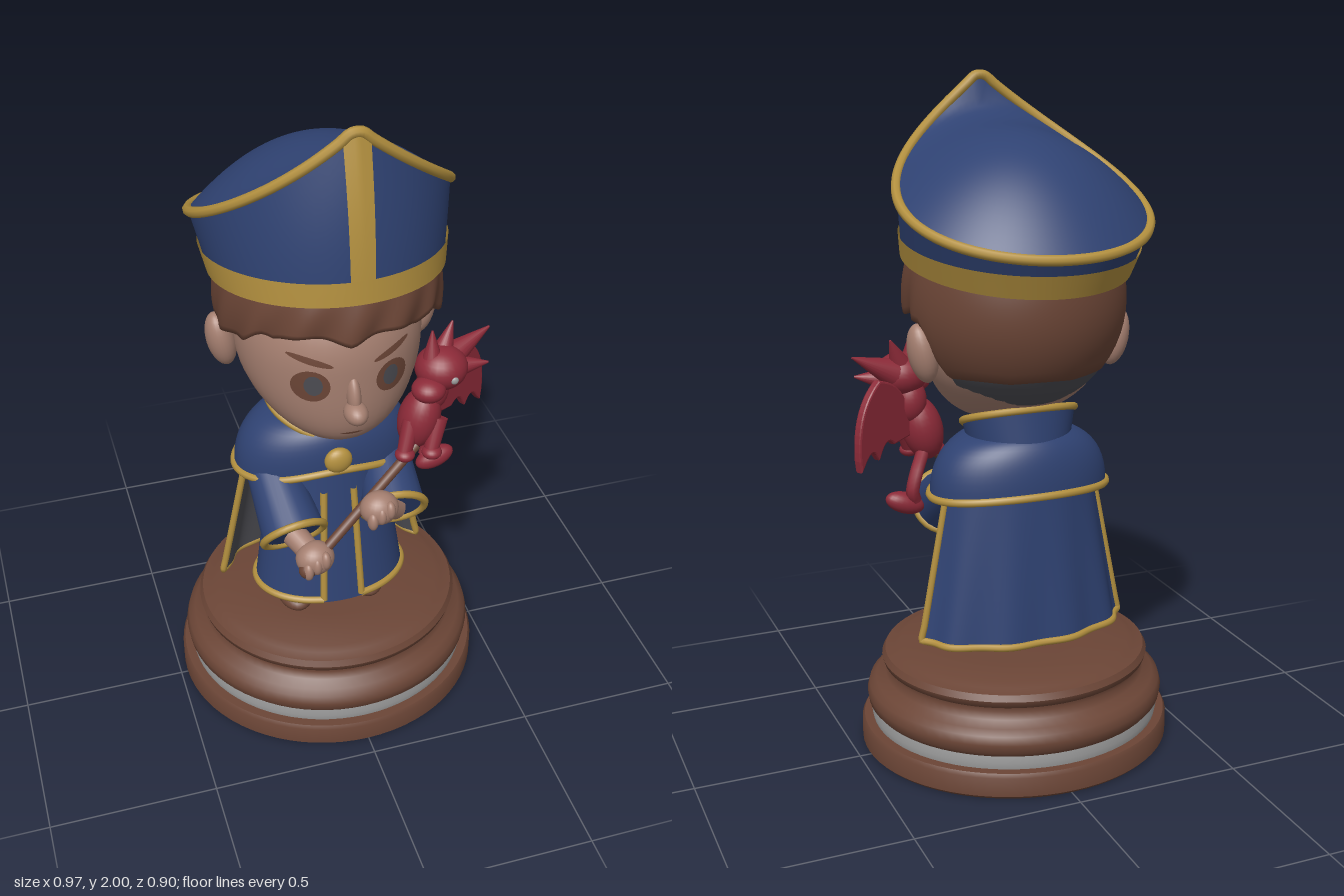
import * as THREE from 'three';
import { mergeVertices, toCreasedNormals } from 'three/addons/utils/BufferGeometryUtils.js';
import { ParametricGeometry } from 'three/addons/geometries/ParametricGeometry.js';

const colour = (name, hex) => {
  const m = new THREE.MeshStandardMaterial({ color: hex, side: THREE.DoubleSide });
  m.name = name;
  return m;
};
const V = (x, y, z) => new THREE.Vector3(x, y, z);
const { sin, cos, PI, sqrt, abs, max, min } = Math;

export function createModel() {
  const blue = colour('blue cloth', 0x2f4272), gold = colour('gold trim', 0xb3903f);
  const brown = colour('brown', 0x6b4536), skin = colour('skin', 0xa57f70);
  const red = colour('red', 0x8c2a38), grey = colour('dark grey', 0x4c4c52);
  const silver = colour('silver', 0x9a9a9a);
  const root = new THREE.Group();

  const add = (name, geo, mat, parent = root) => {
    const m = new THREE.Mesh(geo, mat);
    m.name = name;
    parent.add(m);
    return m;
  };
  // surface from a rule f(a, t) -> Vector3, a in [a0, a1], t in [t0, t1]
  const sheet = (name, mat, f, a0, a1, t0, t1, na = 64, nt = 12) => {
    let g = new ParametricGeometry((u, v, p) => p.copy(f(a0 + (a1 - a0) * u, t0 + (t1 - t0) * v)), na, nt);
    g.deleteAttribute('uv');
    g.deleteAttribute('normal');
    g = mergeVertices(g, 1e-5);
    g.computeVertexNormals();
    return add(name, g, mat);
  };
  const tube = (name, mat, pts, r, closed = false, parent = root) =>
    add(name, new THREE.TubeGeometry(new THREE.CatmullRomCurve3(pts, closed), pts.length * 3, r, 8, closed), mat, parent);
  const line = (f, s0, s1, n = 24) => Array.from({ length: n + 1 }, (_, i) => f(s0 + (s1 - s0) * i / n));
  const blob = (name, mat, p, s, parent = root) => {
    const m = add(name, new THREE.SphereGeometry(1, 24, 16), mat, parent);
    m.position.set(...p);
    m.scale.set(...s);
    return m;
  };
  const rod = (name, mat, p0, p1, r0, r1, parent = root) => {
    const a = V(...p0), b = V(...p1), d = b.clone().sub(a);
    const m = add(name, new THREE.CylinderGeometry(r1, r0, d.length(), 20), mat, parent);
    m.position.copy(a).add(b).multiplyScalar(0.5);
    m.quaternion.setFromUnitVectors(V(0, 1, 0), d.normalize());
    return m;
  };

  // pedestal
  const turned = (name, mat, pts) => {
    const g = new THREE.LatheGeometry(pts.map(p => new THREE.Vector2(...p)), 72);
    const m = add(name, toCreasedNormals(g, 0.7), mat);
    m.position.x = -0.005;
    m.scale.z = 0.945;
  };
  turned('baseFoot', brown, [[0, 0], [0.465, 0], [0.475, 0.01], [0.475, 0.068], [0.468, 0.08], [0.4, 0.08]]);
  turned('baseBand', silver, [[0.44, 0.075], [0.445, 0.1], [0.435, 0.135]]);
  turned('baseTop', brown, [[0.4, 0.12], [0.44, 0.12], [0.453, 0.135], [0.457, 0.16], [0.45, 0.185], [0.43, 0.2],
    [0.4, 0.215], [0.388, 0.235], [0.39, 0.248], [0.405, 0.258], [0.41, 0.275], [0.4, 0.293], [0.37, 0.3],
    [0.35, 0.31], [0.2, 0.312], [0, 0.312]]);

  // legs and shoes
  for (const x of [-0.115, 0.085]) {
    rod('leg', grey, [x, 0.31, 0.02], [x, 0.5, 0.02], 0.05, 0.055);
    blob('shoe', brown, [x * 1.15, 0.325, 0.07], [0.055, 0.035, 0.085]);
  }

  // coat with trim
  const coat = (a, t) => V(-0.01 + (0.235 - 0.075 * t) * sin(a), 0.375 + 0.525 * t,
    0.04 - 0.03 * t + (0.165 - 0.04 * t) * cos(a));
  const coatHem = a => coat(a, 0.02);
  sheet('coat', blue, coat, 0, 2 * PI, 0, 1);
  sheet('coatUnderside', grey, (a, t) => { const p = coat(a, 0.02); p.x *= t; p.z = 0.04 + (p.z - 0.04) * t; return p; }, 0, 2 * PI, 0.01, 1, 48, 2);
  tube('coatHemTrim', gold, line(coatHem, 0.25, 2 * PI - 0.27), 0.012);
  for (const a of [-0.27, 0.25]) tube('coatFrontTrim', gold, line(t => coat(a, t), 0.02, 0.75, 10), 0.011);

  // open cape with grey lining
  const cape = k => (a, t) => {
    const fold = k * (1 + 0.025 * t * cos(11 * a));
    return V(-0.01 + (0.235 + 0.1 * t) * sin(a) * fold, 0.86 - 0.495 * t, 0.01 + (0.165 + 0.045 * t) * cos(a) * fold);
  };
  const c0 = 1.85, c1 = 2 * PI - 1.85, outer = cape(1);
  sheet('cape', blue, outer, c0, c1, 0, 1, 60, 14);
  sheet('capeLining', grey, cape(0.97), c0, c1, 0, 1, 60, 14);
  tube('capeTrim', gold, [...line(t => outer(c0, t), 0.05, 1, 10), ...line(a => outer(a, 1), c0 + 0.04, c1 - 0.04, 50),
    ...line(t => outer(c1, t), 1, 0.05, 10)], 0.011);

  // shoulder mantle and standing collar
  const mantle = (a, t) => {
    const s = sin(t * PI / 2);
    return V(-0.01 + (0.12 + 0.155 * s) * sin(a), 0.985 - 0.165 * t * t + 0.025 * max(0, cos(a)) ** 6 * t - 0.02 * t * sin(a) ** 2,
      -0.02 + (0.11 + 0.065 * s) * cos(a));
  };
  sheet('mantle', blue, mantle, 0, 2 * PI, 0, 1);
  tube('mantleTrim', gold, line(a => mantle(a, 1), 0, 2 * PI - 0.1, 48), 0.012, true);
  const collar = (a, t) => {
    const back = (1 - cos(a)) / 2;
    return V(-0.01 + (0.15 + 0.02 * t) * sin(a), 0.92 + t * (0.02 + 0.13 * Math.pow(back, 0.6)),
      -0.02 + (0.145 - 0.02 * t * back) * cos(a));
  };
  sheet('collar', blue, collar, 0.1, 2 * PI - 0.1, 0, 1, 48, 6);
  tube('collarTrim', gold, line(a => collar(a, 1), 0.1, 2 * PI - 0.1), 0.011);
  blob('brooch', gold, [-0.015, 0.885, 0.155], [0.042, 0.042, 0.025]);
  rod('neck', skin, [-0.005, 0.9, 0.0], [-0.005, 1.1, 0.02], 0.09, 0.09);

  // sleeves, cuffs and hands
  const arms = [
    { s: [-0.19, 0.82, -0.01], c: [-0.165, 0.675, 0.2], h: [-0.125, 0.645, 0.285] },
    { s: [0.17, 0.82, -0.01], c: [0.145, 0.705, 0.2], h: [0.075, 0.775, 0.27] },
  ];
  for (const { s, c, h } of arms) {
    blob('shoulder', blue, s, [0.08, 0.075, 0.08]);
    rod('sleeve', blue, s, c, 0.072, 0.095);
    const cuff = add('cuffTrim', new THREE.TorusGeometry(0.094, 0.012, 8, 32), gold);
    cuff.position.set(...c);
    cuff.quaternion.setFromUnitVectors(V(0, 0, 1), V(...c).sub(V(...s)).normalize());
    rod('wrist', skin, c, h, 0.038, 0.034);
    blob('hand', skin, h, [0.058, 0.052, 0.05]);
    for (let i = 0; i < 3; i++) blob('finger', skin, [h[0] - 0.03 + i * 0.026, h[1] - 0.018 + i * 0.015, h[2] + 0.035], [0.016, 0.03, 0.02]);
  }
  rod('staff', brown, [-0.16, 0.62, 0.31], [0.22, 0.9, 0.17], 0.015, 0.015);
  blob('staffKnob', brown, [-0.155, 0.625, 0.31], [0.026, 0.026, 0.026]);

  // head: egg with the chin pushed forward
  const head = new THREE.SphereGeometry(1, 40, 32), hp = head.attributes.position;
  for (let i = 0; i < hp.count; i++) {
    const y = hp.getY(i);
    hp.setXYZ(i, -0.005 + 0.27 * hp.getX(i), 1.27 + 0.285 * y, 0.28 * hp.getZ(i) + 0.13 * min(0, y) ** 2);
  }
  head.computeVertexNormals();
  add('head', head, skin);
  const faceZ = (x, y) => {
    const Y = (y - 1.27) / 0.285, X = (x + 0.005) / 0.27;
    return 0.28 * sqrt(max(0, 1 - X * X - Y * Y)) + 0.13 * min(0, Y) ** 2;
  };
  const patch = (name, mat, cx, cy, rx, ry, tilt, lift) => sheet(name, mat, (a, r) => {
    const u = rx * r * cos(a), v = ry * r * sin(a);
    const x = cx + u * cos(tilt) - v * sin(tilt), y = cy + u * sin(tilt) + v * cos(tilt);
    return V(x, y, faceZ(x, y) + lift);
  }, 0, 2 * PI, 0, 1, 24, 4);
  for (const s of [-1, 1]) {
    const x = -0.01 + s * 0.115;
    patch('eye', brown, x, 1.235, 0.05, 0.05, 0, 0.005);
    patch('iris', grey, x - s * 0.005, 1.24, 0.024, 0.032, 0, 0.009);
    patch('brow', brown, x, 1.315, 0.06, 0.01, s * 0.25, 0.006);
    const ear = blob('ear', skin, [-0.005 + s * 0.3, 1.24, -0.045], [0.042, 0.088, 0.05]);
    ear.rotation.z = -s * 0.2;
  }
  patch('mouth', brown, -0.01, 1.062, 0.032, 0.004, 0, 0.004);
  blob('noseTip', skin, [-0.01, 1.155, 0.3], [0.034, 0.032, 0.045]);
  blob('noseBridge', skin, [-0.01, 1.2, 0.278], [0.02, 0.06, 0.03]).rotation.x = -0.25;

  // hair shell with a scalloped hem, and the shaved nape below it
  const scalp = (a, y, k = 1) => {
    const r = k * 0.335 * sqrt(max(0, 1 - ((y - 1.37) / (y > 1.37 ? 0.4 : 0.33)) ** 2));
    return V(-0.005 + 0.97 * r * sin(a), y, 0.008 + r * cos(a));
  };
  const hem = a => {
    const b = abs(a), step = THREE.MathUtils.smoothstep;
    return 1.395 + 0.025 * abs(sin(4.5 * a + 0.4)) * (b < 1.6 ? 1 : 0.2) - 0.07 * step(b, 0.85, 1.15) - 0.15 * step(b, 1.75, 2.0);
  };
  sheet('hair', brown, (a, t) => {
    if (t > 1) return scalp(a, hem(a) + 0.01, 0.82);
    const front = 1 - THREE.MathUtils.smoothstep(abs(a), 1.3, 2);
    return scalp(a, 1.56 + (hem(a) - 1.56) * t, 1 + 0.025 * t * front * sin(14 * a + 3 * t) - 0.03 * t * t * front);
  }, -PI, PI, 0, 1.0833, 128, 13);
  sheet('nape', grey, (a, y) => scalp(a, y, 0.985), 2.0, 2 * PI - 2.0, 1.07, 1.2, 32, 6);

  // tall hat: flared wall, peaked rim, domed top
  const rimY = a => 1.54 + 0.455 * Math.pow(max(0, 1 - abs(a) / PI), 2.05);
  const wall = (a, t, k = 1) => {
    const bulge = 1 + 0.04 * sin(PI * t) * max(0, cos(a)), y0 = 1.485 + 0.055 * cos(a);
    return V(-0.01 + k * (0.325 + 0.035 * t) * sin(a), y0 + (rimY(a) - y0) * t,
      0.005 - 0.06 * t + k * bulge * (0.345 - 0.01 * t) * cos(a));
  };
  sheet('hatWall', blue, (a, t) => wall(a, t), -PI, PI, 0, 1, 96, 12);
  sheet('hatTop', blue, (a, r) => {
    const zn = r * cos(a);
    return V(-0.01 + 0.36 * r * sin(a), rimY(Math.acos(max(-1, min(1, zn)))) + 0.185 * (1 - r * r) * (1 - 0.3 * zn), -0.055 + 0.335 * zn);
  }, -PI, PI, 0, 1, 96, 20);
  sheet('hatUnderside', blue, (a, r) => { const p = wall(a, 0); return V(p.x * r, 1.485 + (p.y - 1.485) * r, p.z * r); }, -PI, PI, 0, 1, 64, 3);
  sheet('hatBand', gold, (a, t) => {
    const y0 = wall(a, 0).y;
    return wall(a, t * 0.065 / (rimY(a) - y0), 1.018);
  }, -PI, PI, -0.05, 1, 96, 3);
  sheet('hatStripe', gold, (a, t) => wall(a, t, 1.015), -0.1, 0.1, 0, 0.99, 8, 12);
  tube('hatRim', gold, line(a => wall(a, 1), -PI, PI - 0.08, 80), 0.015, true);

  // small winged dragon perched on the staff
  const dragon = new THREE.Group();
  dragon.name = 'dragon';
  root.add(dragon);
  const part = (name, p, s) => blob(name, red, p, s, dragon);
  part('body', [0.24, 0.97, 0.13], [0.062, 0.1, 0.065]).rotation.z = -0.25;
  part('neck', [0.28, 1.06, 0.12], [0.05, 0.07, 0.05]);
  part('head', [0.3, 1.14, 0.135], [0.078, 0.065, 0.075]);
  part('snout', [0.245, 1.105, 0.185], [0.05, 0.036, 0.05]);
  blob('eye', silver, [0.315, 1.135, 0.206], [0.012, 0.012, 0.008], dragon);
  rod('horn', red, [0.27, 1.16, 0.14], [0.27, 1.265, 0.13], 0.035, 0.003, dragon);
  rod('horn', red, [0.33, 1.15, 0.11], [0.465, 1.215, 0.08], 0.045, 0.003, dragon);
  rod('horn', red, [0.31, 1.17, 0.11], [0.35, 1.255, 0.08], 0.035, 0.003, dragon);
  rod('spike', red, [0.35, 1.13, 0.13], [0.44, 1.14, 0.15], 0.035, 0.003, dragon);
  for (const [x, z] of [[0.19, 0.17], [0.27, 0.18]]) {
    rod('frontLeg', red, [x + 0.02, 0.98, z - 0.02], [x - 0.01, 0.89, z + 0.01], 0.028, 0.022, dragon);
    part('paw', [x - 0.01, 0.885, z + 0.015], [0.03, 0.02, 0.03]);
  }
  tube('tail', red, [V(0.25, 0.9, 0.1), V(0.285, 0.85, 0.06), V(0.3, 0.8, 0.05), V(0.29, 0.77, 0.06)], 0.02, false, dragon);
  const tip = part('tailTip', [0.318, 0.762, 0.07], [0.062, 0.032, 0.032]);
  tip.rotation.z = 0.35;

  // scalloped wing, slanting back from the shoulder
  const w = new THREE.Shape();
  w.moveTo(0, 0);
  w.quadraticCurveTo(0.02, 0.13, 0.13, 0.15);
  w.quadraticCurveTo(0.235, 0.08, 0.215, -0.09);
  w.quadraticCurveTo(0.17, -0.01, 0.14, -0.07);
  w.quadraticCurveTo(0.11, 0.0, 0.07, -0.04);
  w.lineTo(0, -0.03);
  const wing = add('wing', new THREE.ExtrudeGeometry(w, { depth: 0.015, bevelSize: 0.006, bevelThickness: 0.006, bevelSegments: 2 }), red, dragon);
  wing.position.set(0.29, 0.995, 0.1);
  wing.rotation.y = 0.55;
  return root;
}
